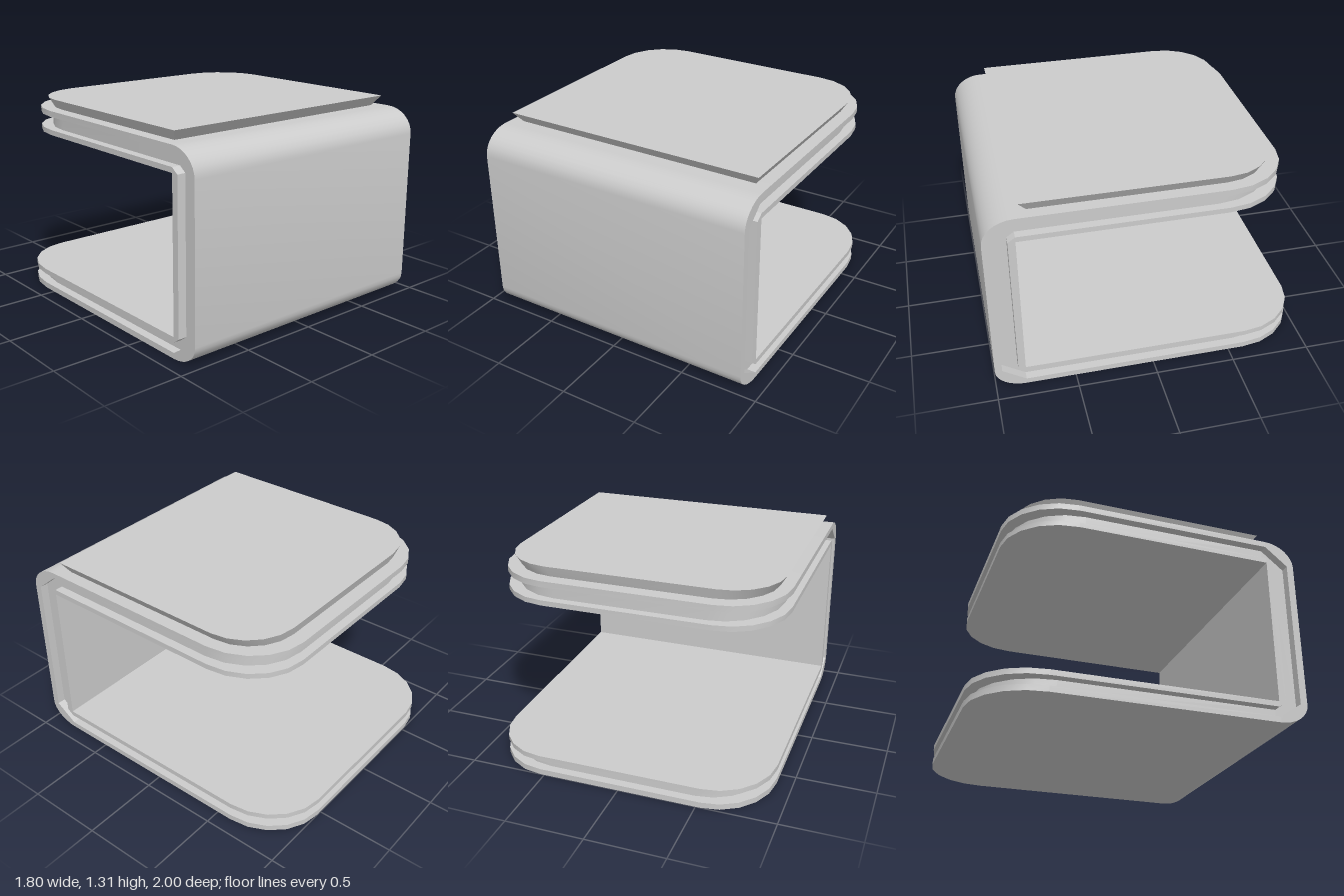
import * as THREE from 'three';
import { toCreasedNormals } from 'three/addons/utils/BufferGeometryUtils.js';

const CORNER_STEPS = 5;
const material = new THREE.MeshStandardMaterial({ color: 0xcccccc });

// The C-shaped skins, from outside to inside: bottom height, front z, top height
const SKINS = {
  outer: { bottom: 0, front: 1, top: 1.246, round: true },
  grooveOuter: { bottom: 0.037, front: 0.955, top: 1.208 },
  grooveInner: { bottom: 0.1, front: 0.855, top: 1.123 },
  inner: { bottom: 0.134, front: 0.81, top: 1.09 },
};
const BEND = { z: 0.81, low: 0.134, high: 1.09 };

// Point on a skin's bend; t = 0 on the leg, t = 1 on the upright wall
function bendPoint(skin, isTop, t) {
  const a = t * Math.PI / 2;
  const u = skin.round ? Math.sin(a) : t;
  const v = skin.round ? Math.cos(a) : 1 - t;
  const y0 = isTop ? BEND.high : BEND.low;
  const leg = isTop ? skin.top : skin.bottom;
  return [y0 + (leg - y0) * v, BEND.z + (skin.front - BEND.z) * u];
}

// Stations [halfWidth, z] round a leg's back corner, from the back edge forwards
function backCorner(halfWidth, backZ, rx = 0.37, rz = 0.4) {
  const list = [];
  for (let i = 0; i <= CORNER_STEPS; i++) {
    const a = (i / CORNER_STEPS) * Math.PI / 2;
    list.push([halfWidth - rx + rx * Math.sin(a), backZ + rz - rz * Math.cos(a)]);
  }
  return list;
}

// One closed layer of the C, lofted from the bottom back edge round to the top back edge
function layer(name, a, b, inset = 0) {
  const w = 0.9 - inset;
  const steps = a.round ? 8 : 1;
  const stations = []; // { w, a: [y, z], b: [y, z] }
  for (const [hw, z] of backCorner(w, -1 + inset)) {
    stations.push({ w: hw, a: [a.bottom, z], b: [b.bottom, z] });
  }
  for (let i = 0; i <= steps; i++) {
    stations.push({ w, a: bendPoint(a, false, i / steps), b: bendPoint(b, false, i / steps) });
  }
  for (let i = steps; i >= 0; i--) {
    stations.push({ w, a: bendPoint(a, true, i / steps), b: bendPoint(b, true, i / steps) });
  }
  for (const [hw, z] of backCorner(w, -0.84 + inset).reverse()) {
    stations.push({ w: hw, a: [a.top, z], b: [b.top, z] });
  }

  const pos = [], index = [];
  for (const s of stations) {
    pos.push(s.w, ...s.a, -s.w, ...s.a, -s.w, ...s.b, s.w, ...s.b);
  }
  const quad = (p, q, r, s) => index.push(p, q, r, p, r, s);
  const last = (stations.length - 1) * 4;
  for (let i = 0; i < last; i += 4) {
    for (let k = 0; k < 4; k++) {
      const n = (k + 1) % 4;
      quad(i + k, i + 4 + k, i + 4 + n, i + n);
    }
  }
  quad(0, 1, 2, 3);
  quad(last + 3, last + 2, last + 1, last);

  const geo = new THREE.BufferGeometry();
  geo.setAttribute('position', new THREE.Float32BufferAttribute(pos, 3));
  geo.setIndex(index);
  const mesh = new THREE.Mesh(toCreasedNormals(geo, 0.5), material);
  mesh.name = name;
  return mesh;
}

// Top pad: rounded at the back, square in front, tapering towards its foot
function topPad() {
  const right = backCorner(0.86, -0.77, 0.33, 0.33);
  const outline = [
    ...right.map(([x, z]) => new THREE.Vector2(x, -z)).reverse(),
    ...right.map(([x, z]) => new THREE.Vector2(-x, -z)),
    new THREE.Vector2(-0.86, -0.78),
    new THREE.Vector2(0.86, -0.78),
  ];
  const height = 0.066;
  const geo = new THREE.ExtrudeGeometry(new THREE.Shape(outline), { depth: height, bevelEnabled: false });
  geo.rotateX(-Math.PI / 2);
  const p = geo.attributes.position;
  for (let i = 0; i < p.count; i++) {
    if (p.getY(i) < height / 2) {
      p.setX(i, p.getX(i) * 0.953);
      p.setZ(i, p.getZ(i) * 0.955 - 0.015);
    }
  }
  const mesh = new THREE.Mesh(toCreasedNormals(geo, 0.5), material);
  mesh.position.y = SKINS.outer.top;
  mesh.name = 'topPad';
  return mesh;
}

export function createModel() {
  const group = new THREE.Group();
  group.name = 'cShapedTable';
  const { outer, grooveOuter, grooveInner, inner } = SKINS;
  group.add(
    layer('outerShell', outer, grooveOuter),
    layer('recessedCore', grooveOuter, grooveInner, 0.055),
    layer('innerShell', grooveInner, inner),
    topPad(),
  );
  return group;
}
